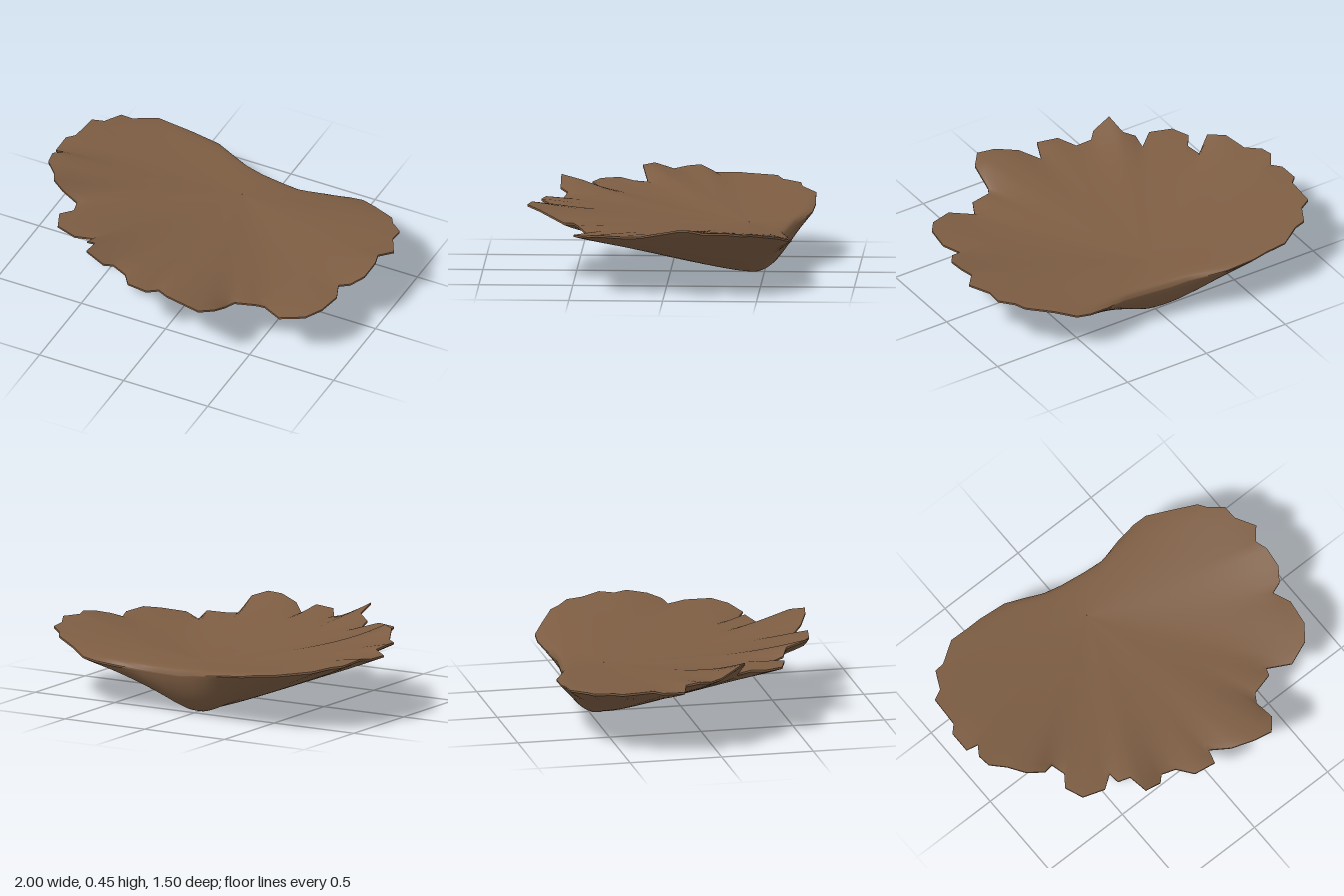
import * as THREE from 'three';

// Ragged outline seen from above as x, z pairs, from the back middle round by the left side
const OUTLINE = [
  0, -.65, .15, -.63, .27, -.62, .4, -.65, .52, -.665, .6, -.66, .7, -.6, .84, -.52, .87, -.47,
  .94, -.41, .94, -.33, 1, -.22, .94, -.15, .96, -.08, .95, .03, .9, .1, .84, .12, .88, .22,
  .86, .36, .8, .44, .67, .49, .55, .42, .53, .47, .41, .5, .38, .55, .38, .68, .32, .75,
  .22, .73, .1, .68, .01, .6, -.02, .69, -.14, .67, -.2, .58, -.28, .56, -.32, .6, -.42, .6,
  -.43, .48, -.49, .45, -.49, .38, -.57, .44, -.69, .4, -.73, .3, -.68, .23, -.7, .15, -.77, .18,
  -.85, .12, -.9, .02, -.97, -.05, -.98, -.12, -.94, -.18, -1, -.2, -1, -.32, -.96, -.36, -.95, -.53,
  -.89, -.56, -.84, -.66, -.78, -.67, -.66, -.75, -.55, -.75, -.46, -.755, -.3, -.745, -.2, -.71, -.1, -.67,
];

// Rim height at chosen outline points: index, y
const RIM_HEIGHT = [
  0, .25, 2, .24, 5, .275, 7, .335, 9, .355, 11, .37, 13, .38, 15, .34, 16, .325, 18, .335, 20, .305, 21, .29,
  22, .33, 24, .32, 25, .39, 26, .41, 27, .41, 28, .385, 29, .34, 30, .385, 31, .38, 32, .36, 34, .4,
  35, .455, 36, .42, 38, .36, 39, .39, 41, .39, 43, .37, 44, .45, 45, .45, 46, .41, 48, .42, 50, .375,
  52, .38, 55, .35, 58, .32, 60, .295, 63, .25,
];

const COUNT = OUTLINE.length / 2;
const RINGS = 24;
const APEX = { x: 0, z: -.42, top: .268 };
const EDGE = .03;

function heightAt(i) {
  let k = 0;
  while (RIM_HEIGHT[k + 2] < i) k += 2;
  const f = (i - RIM_HEIGHT[k]) / (RIM_HEIGHT[k + 2] - RIM_HEIGHT[k]);
  return THREE.MathUtils.lerp(RIM_HEIGHT[k + 1], RIM_HEIGHT[k + 3], f);
}

const rim = Array.from({ length: COUNT }, (_, i) =>
  new THREE.Vector3(OUTLINE[2 * i], heightAt(i), OUTLINE[2 * i + 1]));

// Softened rim that shapes the inner rings, so the jagged lobes fade inward
const softRim = rim.map((_, i) => {
  const sum = new THREE.Vector3();
  let total = 0;
  for (let k = -5; k <= 5; k++) {
    const weight = 6 - Math.abs(k);
    sum.addScaledVector(rim[(i + k + COUNT) % COUNT], weight);
    total += weight;
  }
  return sum.divideScalar(total);
});

// How far a spoke points to the back, from 0 to 1
function backness(p) {
  const dx = p.x - APEX.x;
  const dz = p.z - APEX.z;
  return THREE.MathUtils.smoothstep(-dz / Math.hypot(dx, dz), .2, 1);
}

// Point on a spoke; t runs from the apex (0) to the rim (1)
function spoke(i, t, heightRule) {
  const p = softRim[i].clone().lerp(rim[i], t ** 5);
  return [
    APEX.x + (p.x - APEX.x) * t,
    heightRule(p, t),
    APEX.z + (p.z - APEX.z) * t,
  ];
}

// Gentle dish whose lip rolls over, most of all at the back
const topRule = (p, t) =>
  APEX.top + (p.y - APEX.top) * t ** 1.4 - EDGE * (.15 + .6 * backness(p)) * t ** 20;

// Cone-like toward the front, rounded and steep at the back, thinning at the rim
const underRule = (p, t) =>
  (p.y - EDGE) * t ** (1.14 + 1.15 * backness(p)) + EDGE * (.5 - .4 * backness(p)) * t ** 14;

// Joins closed loops of points into a smooth skin
function skin(loops, flip) {
  const index = [];
  for (let r = 0; r < loops.length - 1; r++) {
    for (let i = 0; i < COUNT; i++) {
      const a = r * COUNT + i;
      const b = r * COUNT + (i + 1) % COUNT;
      const c = a + COUNT;
      const d = b + COUNT;
      if (flip) index.push(a, c, b, b, c, d);
      else index.push(a, b, c, b, d, c);
    }
  }
  const geometry = new THREE.BufferGeometry();
  geometry.setAttribute('position', new THREE.Float32BufferAttribute(loops.flat(2), 3));
  geometry.setIndex(index);
  geometry.computeVertexNormals();
  return geometry;
}

function spokeLoops(rule) {
  return Array.from({ length: RINGS + 1 }, (_, r) => {
    const t = Math.max(r / RINGS, .002);
    return rim.map((_, i) => spoke(i, t, rule));
  });
}

export function createModel() {
  const group = new THREE.Group();
  group.name = 'shelfFungus';
  const brown = new THREE.MeshStandardMaterial({ color: 0x7d5d43, side: THREE.DoubleSide });
  brown.name = 'barkBrown';

  const add = (name, geometry) => {
    const mesh = new THREE.Mesh(geometry, brown);
    mesh.name = name;
    group.add(mesh);
  };

  const top = spokeLoops(topRule);
  const under = spokeLoops(underRule);

  // Shallow dished upper surface
  add('upperSurface', skin(top, true));
  // Underside that comes to a keel near the back
  add('underside', skin(under, false));
  // Thin torn edge joining the two
  add('raggedEdge', skin([top[RINGS], under[RINGS]], true));
  return group;
}
